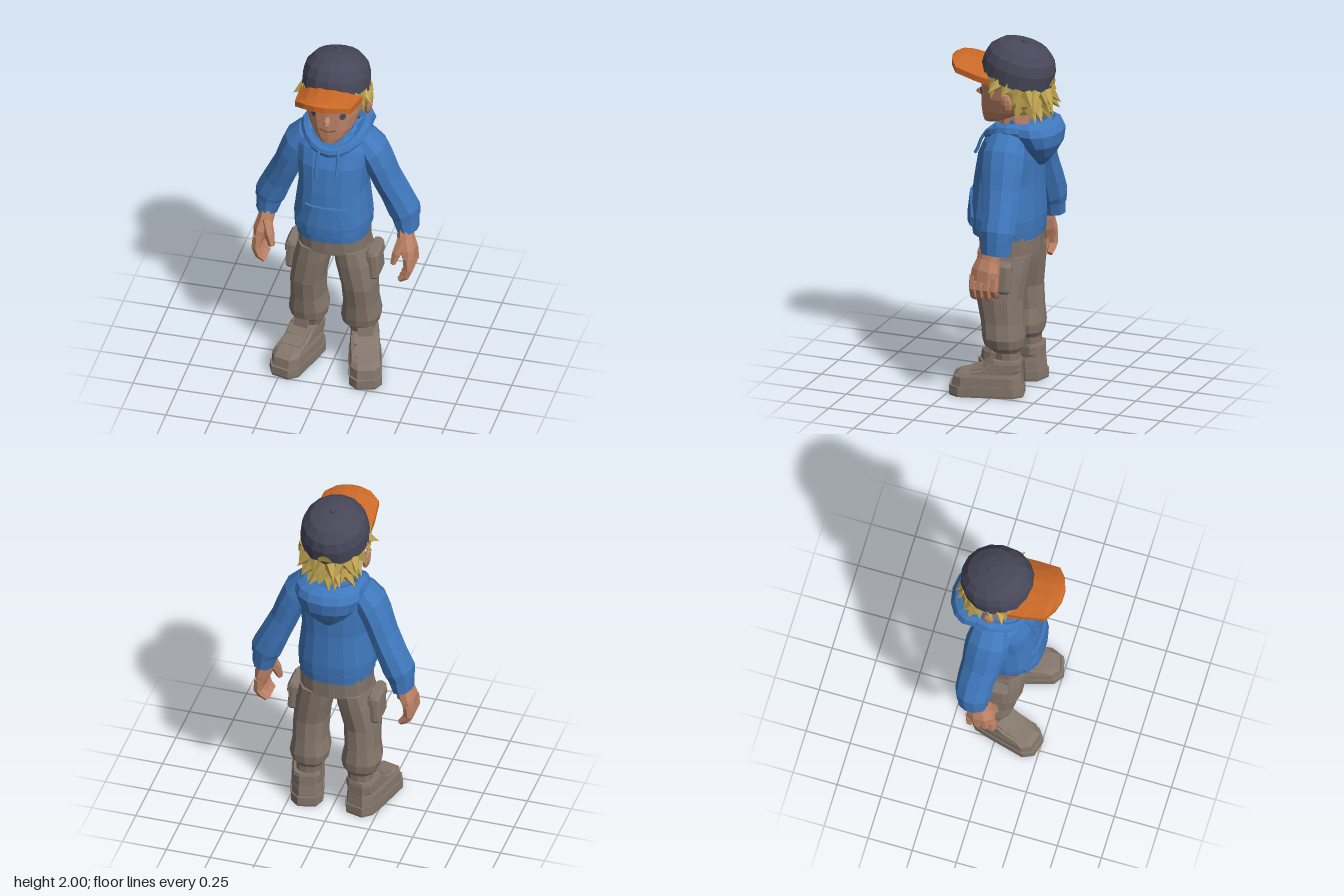
import * as THREE from 'three';

const mat = (name, color) => Object.assign(new THREE.MeshStandardMaterial({ color }), { name });
const V = (x, y, z) => new THREE.Vector3(x, y, z);

// Faceted copy of a geometry
function flat(geo) {
  const g = geo.index ? geo.toNonIndexed() : geo;
  g.computeVertexNormals();
  return g;
}

// Skin a list of equal-sized rings; faces are turned outwards by the sign of the volume
function loft(rings, closed = false) {
  const n = rings[0].length, tris = [];
  const m = closed ? rings.length : rings.length - 1;
  for (let j = 0; j < m; j++) {
    const A = rings[j], B = rings[(j + 1) % rings.length];
    for (let i = 0; i < n; i++) {
      const k = (i + 1) % n;
      tris.push([A[i], A[k], B[k]], [A[i], B[k], B[i]]);
    }
  }
  if (!closed) [rings[0], rings[rings.length - 1]].forEach((R, end) => {
    const c = V(0, 0, 0);
    R.forEach(p => c.addScaledVector(p, 1 / n));
    R.forEach((p, i) => tris.push(end ? [c, p, R[(i + 1) % n]] : [c, R[(i + 1) % n], p]));
  });
  let vol = 0;
  tris.forEach(([a, b, c]) => { vol += a.dot(b.clone().cross(c)); });
  const pos = [];
  tris.forEach(([a, b, c]) => (vol < 0 ? [a, c, b] : [a, b, c]).forEach(p => pos.push(p.x, p.y, p.z)));
  const g = new THREE.BufferGeometry();
  g.setAttribute('position', new THREE.Float32BufferAttribute(pos, 3));
  g.computeVertexNormals();
  return g;
}

// Level rounded ring, angle 0 at the front: [y, centre x, centre z, half width, half depth]
function oval([y, cx, cz, rx, rz], n = 16, e = 2.4) {
  return Array.from({ length: n }, (_, i) => {
    const a = i / n * Math.PI * 2, s = Math.sin(a), c = Math.cos(a);
    const f = v => Math.sign(v) * Math.abs(v) ** (2 / e);
    return V(cx + rx * f(s), y, cz + rz * f(c));
  });
}
const stack = (rows, n, e) => loft(rows.map(r => oval(r, n, e)));

// Limb along a bent path: [x, y, z, radius, radius in depth]
function limb(rows, side, n = 10) {
  const P = rows.map(r => V(r[0] * side, r[1], r[2]));
  return loft(rows.map((r, j) => {
    const t = P[Math.min(j + 1, P.length - 1)].clone().sub(P[Math.max(j - 1, 0)]).normalize();
    const u = t.clone().cross(V(0, 0, 1)).normalize(), v = t.clone().cross(u);
    return Array.from({ length: n }, (_, i) => {
      const a = (i + 0.5) / n * Math.PI * 2;
      return P[j].clone().addScaledVector(u, r[3] * Math.cos(a)).addScaledVector(v, r[4] * Math.sin(a));
    });
  }));
}

// Pointed lock of hair from base to tip
function tuft(base, tip, r) {
  const d = tip.clone().sub(base), g = new THREE.ConeGeometry(r, d.length(), 5);
  g.applyQuaternion(new THREE.Quaternion().setFromUnitVectors(V(0, 1, 0), d.normalize()));
  const mid = base.clone().add(tip).multiplyScalar(0.5);
  return flat(g.translate(mid.x, mid.y, mid.z));
}

export function createModel() {
  const blue = mat('hoodie blue', 0x3f78bd), taupe = mat('trouser taupe', 0x85776c);
  const skin = mat('skin', 0xc08568), blond = mat('hair blond', 0xc2a652);
  const navy = mat('cap navy', 0x474759), orange = mat('brim orange', 0xcc6a28);
  const dark = mat('eye dark', 0x454b5e), lip = mat('mouth brown', 0x74483a);
  const model = new THREE.Group();
  const add = (name, geo, material, parent = model) => {
    const m = new THREE.Mesh(geo, material);
    m.name = name;
    parent.add(m);
    return m;
  };

  // Head, neck and nose
  const head = add('head', stack([[1.515, 0, 0.095, 0.045, 0.042], [1.55, 0, 0.05, 0.09, 0.092],
    [1.6, 0, 0.01, 0.125, 0.135], [1.68, 0, -0.03, 0.155, 0.175], [1.78, 0, -0.04, 0.165, 0.183],
    [1.88, 0, -0.045, 0.14, 0.15]], 16, 2.3), skin);
  add('neck', stack([[1.42, 0, -0.03, 0.085, 0.09], [1.62, 0, -0.04, 0.075, 0.08]], 10), skin);
  add('nose', stack([[1.652, 0, 0.145, 0.014, 0.022], [1.663, 0, 0.15, 0.021, 0.042],
    [1.682, 0, 0.148, 0.018, 0.034], [1.695, 0, 0.138, 0.01, 0.014]], 6, 2), skin);

  // Face details laid on the head
  const ray = new THREE.Raycaster();
  const onFace = (x, y, lift) => {
    ray.set(V(x, y, 1), V(0, 0, -1));
    const hit = ray.intersectObject(head)[0];
    return { p: hit.point.clone().addScaledVector(hit.face.normal, lift), n: hit.face.normal };
  };
  const faceLine = (name, pts, r, m) => add(name, new THREE.TubeGeometry(
    new THREE.CatmullRomCurve3(pts.map(([x, y]) => onFace(x, y, 0.003).p)), 10, r, 5), m);
  faceLine('mouth', [[-0.045, 1.612], [-0.02, 1.603], [0, 1.601], [0.02, 1.603], [0.045, 1.612]], 0.003, lip);
  for (const s of [1, -1]) {
    const { p, n } = onFace(0.08 * s, 1.703, 0.005);
    const eye = add('eye', new THREE.CircleGeometry(0.02, 10).scale(1, 1.1, 1), dark);
    eye.position.copy(p);
    eye.quaternion.setFromUnitVectors(V(0, 0, 1), n);
    faceLine('eyebrow', [[0.045 * s, 1.75], [0.08 * s, 1.76], [0.115 * s, 1.75]], 0.007, blond);
    add('ear', flat(new THREE.SphereGeometry(1, 8, 6).scale(0.022, 0.06, 0.036)
      .rotateZ(-0.15 * s).translate(0.18 * s, 1.68, -0.06)), skin);
  }

  // Hair: back shell, rows of locks that follow the cap rim, side locks and fringe
  const hair = new THREE.Group();
  hair.name = 'hair';
  model.add(hair);
  add('hairBack', stack([[1.6, 0, -0.1, 0.11, 0.1], [1.66, 0, -0.1, 0.15, 0.125],
    [1.74, 0, -0.09, 0.168, 0.145], [1.78, 0, -0.08, 0.165, 0.14]], 14, 2), blond, hair);
  [[1.765, 0.155, 0.14, 10], [1.72, 0.145, 0.135, 9], [1.67, 0.115, 0.115, 7]].forEach(([y, rx, rz, n], row) => {
    for (let i = 0; i < n; i++) {
      const a = (104 + 152 * (i + (row % 2) * 0.3) / (n - 1 + (row % 2) * 0.6)) * Math.PI / 180;
      const b = a + (i % 2 ? 0.13 : -0.13), out = 0.042 + 0.012 * (i % 3);
      const h = y + 0.04 * Math.min(0, Math.cos(a));
      add('lock', tuft(V(rx * Math.sin(a), h, -0.085 + rz * Math.cos(a)),
        V((rx + out) * Math.sin(b), h - 0.07 - 0.012 * (i % 2), -0.085 + (rz + out) * Math.cos(b)), 0.04), blond, hair);
    }
  });
  for (const s of [1, -1]) {
    add('sideLock', tuft(V(0.145 * s, 1.795, -0.01), V(0.222 * s, 1.745, 0.03), 0.045), blond, hair);
    add('sideLock', tuft(V(0.145 * s, 1.81, 0.025), V(0.175 * s, 1.695, 0.035), 0.04), blond, hair);
    add('sideLock', tuft(V(0.155 * s, 1.785, -0.06), V(0.205 * s, 1.72, -0.04), 0.035), blond, hair);
  }
  [-0.135, -0.1, -0.06, -0.02, 0.09, 0.13].forEach((x, i) => {
    const base = onFace(x, 1.82, 0).p, tip = onFace(x * 0.97 - 0.015, 1.755 + 0.012 * (i % 2), 0.012).p;
    add('fringe', tuft(base, tip, 0.031), blond, hair);
  });

  // Cap, tilted back
  const cap = new THREE.Group();
  cap.name = 'cap';
  cap.position.set(0, 1.785, -0.048);
  cap.rotation.x = -0.24;
  model.add(cap);
  add('crown', stack([[-0.004, 1], [0.08, 0.99], [0.135, 0.9], [0.18, 0.68], [0.2, 0.38], [0.207, 0.08]]
    .map(([y, k]) => [y, 0, 0, 0.187 * k, 0.205 * k]), 16, 2.05), navy, cap);
  add('button', flat(new THREE.CylinderGeometry(0.015, 0.02, 0.018, 8).translate(0, 0.209, 0)), navy, cap);
  add('backOpening', new THREE.CircleGeometry(0.042, 10, 0, Math.PI).rotateY(Math.PI)
    .translate(0, 0.022, -0.208), blond, cap);

  // Curved brim
  const across = [-1, -0.6, -0.25, 0.25, 0.6, 1];
  add('brim', loft([[0.04, 0.172, 1.866, 0.055], [0.13, 0.168, 1.876, 0.052], [0.25, 0.155, 1.886, 0.042],
    [0.295, 0.095, 1.883, 0.04], [0.315, 0.03, 1.874, 0.04]].map(([z, w, y, sag]) => {
    const at = dy => across.map(t => V(t * w, y + dy - sag * (t * w / 0.16) ** 2, z));
    return [...at(0), ...at(-0.034).reverse()];
  })), orange);

  // Hoodie body, hem and front pocket
  add('hoodieBody', stack([[0.935, 0, 0, 0.212, 0.196], [1.0, 0, 0, 0.214, 0.2], [1.2, 0, -0.006, 0.19, 0.185],
    [1.35, 0, -0.022, 0.203, 0.173], [1.44, 0, -0.04, 0.215, 0.147], [1.52, 0, -0.05, 0.15, 0.105]], 18, 2.5), blue);
  add('hem', stack([[0.89, 0, -0.004, 0.2, 0.19], [0.94, 0, -0.004, 0.205, 0.195]], 18, 2.5), blue);
  add('frontPocket', loft([[0.945, 0.165, 0.213, 0.198], [1.0, 0.176, 0.214, 0.2], [1.125, 0.118, 0.2, 0.188]]
    .map(([y, w, rx, rz]) => {
      const at = lift => across.map(t => V(t * w, y, lift + rz * (1 - Math.abs(t * w / rx) ** 2.5) ** 0.4));
      return [...at(0.014), ...at(-0.03).reverse()];
    })), blue);

  // Hood: rolled collar dipping to a V at the front, and the bag hanging behind
  const N = 20;
  add('hoodCollar', loft(Array.from({ length: N }, (_, j) => {
    const a = j / N * Math.PI * 2, s = Math.sin(a), c = Math.cos(a), front = Math.max(0, c);
    const w = 0.041 - 0.014 * front, h = 0.042 - 0.01 * front;
    return Array.from({ length: 8 }, (_, i) => {
      const b = i / 8 * Math.PI * 2, r = w * Math.cos(b);
      return V((0.156 + r) * s, 1.516 - 0.08 * front ** 1.6 + h * Math.sin(b), -0.06 + (0.165 + r) * c);
    });
  }), true), blue);
  add('hoodBag', stack([[1.3, 0, -0.19, 0.03, 0.025], [1.36, 0, -0.2, 0.1, 0.068], [1.43, 0, -0.197, 0.16, 0.11],
    [1.5, 0, -0.17, 0.19, 0.145], [1.54, 0, -0.16, 0.18, 0.133], [1.558, 0, -0.15, 0.15, 0.11],
    [1.5, 0, -0.13, 0.1, 0.07]], 14, 2.1), blue);

  for (const s of [1, -1]) {
    add('drawstring', new THREE.TubeGeometry(new THREE.CatmullRomCurve3([V(0.05 * s, 1.46, 0.11),
      V(0.057 * s, 1.42, 0.135), V(0.058 * s, 1.36, 0.158), V(0.058 * s, s > 0 ? 1.33 : 1.3, 0.174)]), 8, 0.009, 6), blue);

    // Sleeve running up to the neck, cuff and hand
    add('sleeve', limb([[0.08, 1.5, -0.055, 0.045, 0.07], [0.16, 1.455, -0.055, 0.072, 0.105],
      [0.205, 1.395, -0.055, 0.087, 0.12], [0.24, 1.32, -0.06, 0.083, 0.12],
      [0.28, 1.21, -0.07, 0.08, 0.11], [0.33, 1.1, -0.085, 0.084, 0.103], [0.374, 1.0, -0.09, 0.09, 0.1],
      [0.388, 0.955, -0.09, 0.076, 0.09]], s), blue);
    add('cuff', limb([[0.378, 0.975, -0.088, 0.078, 0.092], [0.395, 0.883, -0.085, 0.062, 0.085]], s), blue);
    add('palm', limb([[0.385, 0.92, -0.06, 0.042, 0.052], [0.393, 0.85, -0.045, 0.046, 0.065],
      [0.41, 0.79, -0.035, 0.048, 0.082], [0.422, 0.73, -0.03, 0.036, 0.085]], s, 8), skin);
    [-0.092, -0.05, -0.008, 0.03].forEach((z, i) => {
      const d = i === 0 ? 0.02 : 0;
      add('finger', limb([[0.422, 0.76, z, 0.028, 0.025], [0.428, 0.69, z + 0.003, 0.029, 0.025],
        [0.41, 0.645 + d, z + 0.005, 0.026, 0.024], [0.378, 0.618 + d, z + 0.006, 0.016, 0.018]], s, 6), skin);
    });
    add('thumb', limb([[0.385, 0.855, -0.01, 0.034, 0.034], [0.358, 0.775, 0.02, 0.028, 0.03],
      [0.34, 0.712, 0.032, 0.016, 0.018]], s, 6), skin);

    // Trouser leg with cargo pocket
    add('trouserLeg', stack([[0.18, 0.15, -0.06, 0.065, 0.065], [0.25, 0.145, -0.05, 0.074, 0.078],
      [0.28, 0.145, -0.037, 0.1, 0.108], [0.33, 0.147, -0.035, 0.112, 0.117], [0.42, 0.148, -0.026, 0.095, 0.12],
      [0.55, 0.144, -0.01, 0.097, 0.132], [0.7, 0.118, -0.015, 0.104, 0.15], [0.8, 0.1, -0.02, 0.096, 0.157]]
      .map(r => [r[0], r[1] * s, ...r.slice(2)]), 12), taupe);
    const pocket = new THREE.Group();
    pocket.name = 'cargoPocket';
    pocket.position.set(0.23 * s, 0.69, -0.02);
    pocket.rotation.z = 0.06 * s;
    model.add(pocket);
    add('pocketBag', stack([[-0.085, 0, 0, 0.022, 0.075], [-0.07, 0, 0, 0.03, 0.085], [0.07, 0, 0, 0.028, 0.085]], 12, 5), taupe, pocket);
    add('pocketFlap', stack([[0.03, 0, 0, 0.038, 0.092], [0.07, 0, 0, 0.036, 0.092], [0.09, 0, 0, 0.022, 0.085]], 12, 5), taupe, pocket);

    // Boot, toes turned out
    const boot = new THREE.Group();
    boot.name = 'boot';
    boot.position.x = 0.175 * s;
    boot.rotation.y = 0.27 * s;
    model.add(boot);
    const half = [[0.05, 0.255], [0.09, 0.205], [0.092, 0], [0.088, -0.1], [0.05, -0.155]];
    const outline = [...half, ...half.map(([x, z]) => [-x, z]).reverse()];
    const layer = ([y, k, back, front]) => outline.map(([x, z]) =>
      V(x * k, y, back + (z + 0.155) / 0.41 * (front - back)));
    add('sole', loft([[0, 0.98, -0.152, 0.25], [0.012, 1, -0.155, 0.255], [0.058, 1, -0.155, 0.253]].map(layer)), taupe, boot);
    add('upper', loft([[0.055, 0.94, -0.147, 0.24], [0.11, 0.92, -0.142, 0.232], [0.132, 0.85, -0.14, 0.2],
      [0.15, 0.85, -0.14, 0.1], [0.19, 0.85, -0.14, 0.035], [0.21, 0.8, -0.135, 0.02]].map(layer)), taupe, boot);
    const strap = (name, w, h, d, y, z, tilt) =>
      add(name, new THREE.BoxGeometry(w, h, d).rotateX(tilt).translate(0, y, z), taupe, boot);
    strap('lowerStrap', 0.12, 0.022, 0.07, 0.145, 0.1, 0.3);
    strap('upperStrap', 0.125, 0.025, 0.06, 0.18, 0.035, 0.65);
    strap('tongue', 0.085, 0.08, 0.025, 0.21, 0.015, -0.15);
  }

  // Trouser seat and fly
  add('trouserSeat', stack([[0.74, 0, -0.02, 0.11, 0.1], [0.785, 0, -0.02, 0.196, 0.162],
    [0.91, 0, -0.02, 0.2, 0.17]], 16, 2.5), taupe);
  add('fly', new THREE.BoxGeometry(0.03, 0.09, 0.012).translate(0.005, 0.85, 0.146), taupe);
  return model;
}
